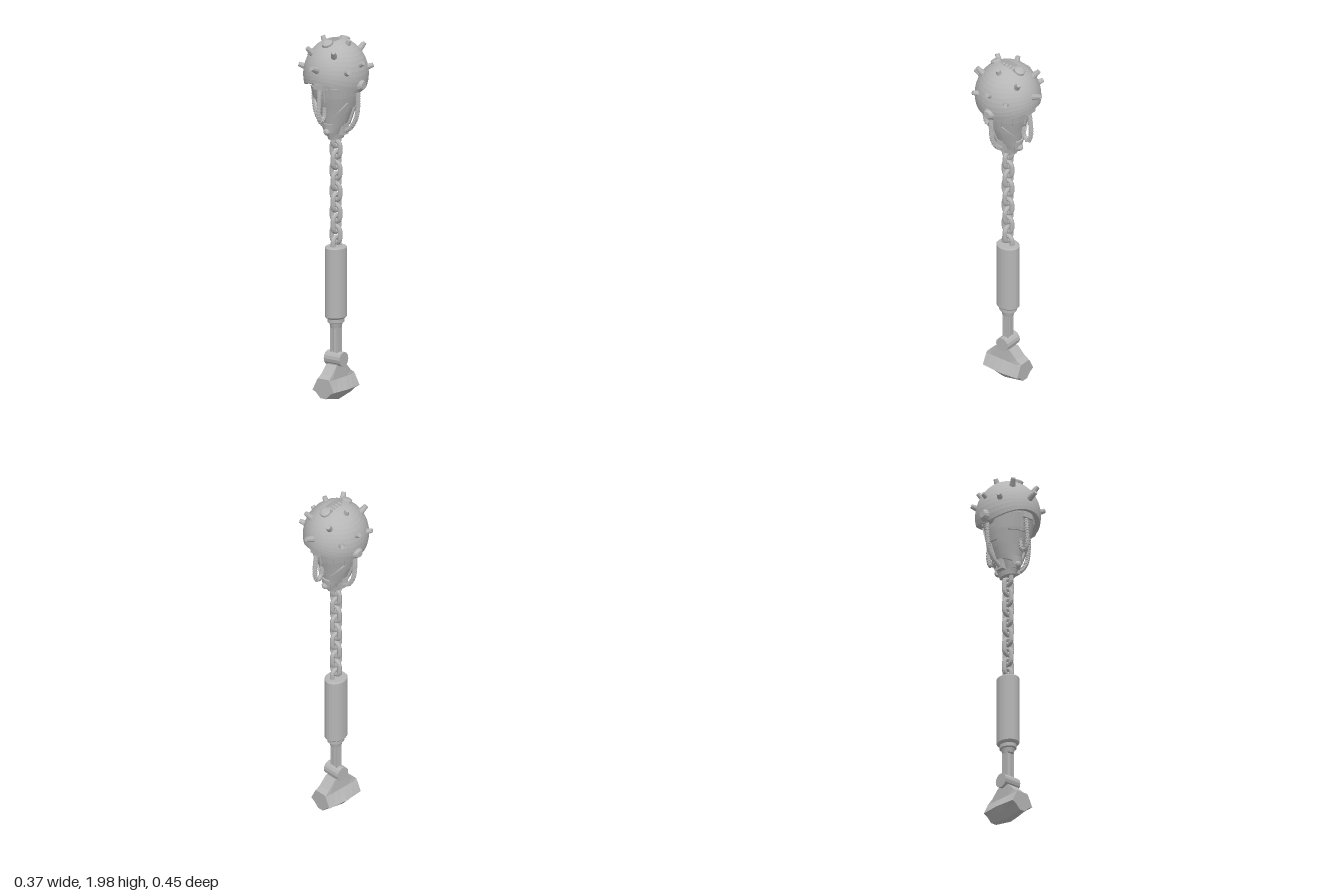
import * as THREE from 'three';

const metal = new THREE.MeshStandardMaterial({ color: 0xb6b6b6, flatShading: true, side: THREE.DoubleSide });
metal.name = 'grey metal';

const lerp = THREE.MathUtils.lerp;
const V = (x, y, z) => new THREE.Vector3(x, y, z);
const UP = V(0, 1, 0);

function add(parent, name, geometry, x = 0, y = 0, z = 0) {
  const mesh = new THREE.Mesh(geometry, metal);
  mesh.name = name;
  mesh.position.set(x, y, z);
  parent.add(mesh);
  return mesh;
}

// Moves every vertex by a rule
function warp(geometry, rule) {
  const p = geometry.attributes.position;
  for (let i = 0; i < p.count; i++) {
    p.setXYZ(i, ...rule(p.getX(i), p.getY(i), p.getZ(i)));
  }
  geometry.computeVertexNormals();
  return geometry;
}

// Cone or cylinder running between two points
function rod(parent, name, from, to, r0, r1, sides = 10) {
  const d = to.clone().sub(from);
  const mesh = add(parent, name, new THREE.CylinderGeometry(r1, r0, d.length(), sides));
  mesh.position.copy(from).addScaledVector(d, 0.5);
  mesh.quaternion.setFromUnitVectors(UP, d.normalize());
  return mesh;
}

// Face cross-sections: height, half width, half depth
const FACE = [
  [1.445, 0.03, 0.06], [1.475, 0.04, 0.073], [1.53, 0.065, 0.08], [1.6, 0.092, 0.097],
  [1.68, 0.115, 0.122], [1.76, 0.13, 0.142], [1.85, 0.13, 0.14], [1.92, 0.085, 0.1], [1.95, 0.015, 0.015],
];
function facePoint(phi, y, out = 0) {
  let i = 0;
  while (i < FACE.length - 2 && y > FACE[i + 1][0]) i++;
  const [a, b] = [FACE[i], FACE[i + 1]];
  const t = (y - a[0]) / (b[0] - a[0]);
  return [Math.sin(phi) * (lerp(a[1], b[1], t) + out), y, Math.cos(phi) * (lerp(a[2], b[2], t) + out)];
}

// Armour plate following the face, with slanted upper and lower edges
function plate(parent, name, phi0, phi1, low0, low1, high0, high1, out) {
  add(parent, name, warp(new THREE.BoxGeometry(1, 1, 1, 6, 5, 1), (x, y, z) => {
    const u = x + 0.5;
    return facePoint(lerp(phi0, phi1, u), lerp(lerp(low0, low1, u), lerp(high0, high1, u), y + 0.5),
      lerp(-0.01, out, z + 0.5));
  }));
}

// Ribbed hose along a curve
function hose(parent, points, radius, ribs) {
  const hoseGroup = new THREE.Group();
  hoseGroup.name = 'ribbedHose';
  const curve = new THREE.CatmullRomCurve3(points);
  add(hoseGroup, 'hoseCore', new THREE.TubeGeometry(curve, 24, radius, 8));
  for (let i = 0; i <= ribs; i++) {
    const p = curve.getPointAt(i / ribs), t = curve.getTangentAt(i / ribs).multiplyScalar(0.004);
    rod(hoseGroup, 'hoseRib', p.clone().sub(t), p.clone().add(t), radius * 1.3, radius * 1.3, 8);
  }
  parent.add(hoseGroup);
}

function buildHammer(root) {
  const g = new THREE.Group();
  g.name = 'hammerEnd';
  // Wedge head: half width and height by level, narrowing to both ends
  const ys = [0.01, 0.04, 0.07, 0.13, 0.2], ws = [0.02, 0.055, 0.08, 0.04, 0.035];
  const zs = [-0.115, -0.085, -0.04, 0, 0.04, 0.085, 0.115], tops = [0.137, 0.155, 0.2, 0.2, 0.2, 0.155, 0.137];
  add(g, 'hammerHead', warp(new THREE.BoxGeometry(1, 1, 1, 2, 4, 6), (x, y, z) => {
    const i = Math.round((y + 0.5) * 4), k = Math.round((z + 0.5) * 6);
    const end = Math.abs(zs[k]) / 0.115;
    const w = ws[i] * (i < 3 ? 1 - 0.12 * end : 1);
    const h = i === 4 ? tops[k] : ys[i] + (i < 2 ? 0.02 * end : 0);
    return [x * 2 * w, h, zs[k]];
  }));
  rod(g, 'pivot', V(-0.052, 0.23, 0), V(0.052, 0.23, 0), 0.04, 0.04, 14);
  add(g, 'pivotNeck', new THREE.BoxGeometry(0.06, 0.08, 0.06), 0, 0.2, 0);
  add(g, 'rod', new THREE.CylinderGeometry(0.018, 0.018, 0.17, 10), 0, 0.335, 0);
  for (const s of [-1, 1]) add(g, 'rodRail', new THREE.BoxGeometry(0.01, 0.17, 0.036), s * 0.02, 0.335, 0);
  root.add(g);
}

function buildHandle(root) {
  const g = new THREE.Group();
  g.name = 'handle';
  const profile = [[0, 0.4], [0.03, 0.4], [0.036, 0.425], [0.045, 0.43], [0.045, 0.45], [0.054, 0.455],
    [0.06, 0.462], [0.06, 0.838], [0.054, 0.845], [0, 0.845]];
  const grip = add(g, 'grip', new THREE.LatheGeometry(profile.map(([r, y]) => new THREE.Vector2(r, y)), 24));
  grip.scale.set(0.93, 1, 1.1);
  root.add(g);
}

function buildChain(root) {
  const g = new THREE.Group();
  g.name = 'chain';
  const pts = [];
  for (let i = 0; i < 16; i++) {
    const a = (i / 16) * Math.PI * 2;
    pts.push(V(Math.cos(a) * 0.027, Math.sin(a) * 0.027 + Math.sign(Math.round(Math.sin(a) * 99)) * 0.018, 0));
  }
  const link = new THREE.TubeGeometry(new THREE.CatmullRomCurve3(pts, true), 28, 0.0125, 8, true);
  for (let i = 0; i < 11; i++) {
    add(g, 'chainLink', link, 0, 0.85 + i * 0.0585, 0).rotation.y = i % 2 ? 0 : Math.PI / 2;
  }
  root.add(g);
}

function buildFace(root) {
  const g = new THREE.Group();
  g.name = 'face';
  add(g, 'skull', warp(new THREE.PlaneGeometry(1, 1, 32, 24), (x, y) =>
    facePoint(x * Math.PI * 2, lerp(1.445, 1.95, y + 0.5))));
  const base = add(g, 'chinSocket', new THREE.CylinderGeometry(0.04, 0.033, 0.035, 14), 0, 1.455, 0);
  base.scale.z = 1.7;
  for (const f of [0, Math.PI]) {
    const s = f ? -1 : 1;
    // Brow, cheeks and jaw, repeated on both faces
    plate(g, 'browPlate', f - 0.75, f + 0.75, 1.665, 1.665, 1.735, 1.735, 0.008);
    plate(g, 'chinPlate', f - 0.6, f + 0.6, 1.465, 1.465, 1.53, 1.53, 0.01);
    plate(g, 'cheekPlate', f + 0.5, f + 1.3, 1.5, 1.52, 1.57, 1.66, 0.012);
    plate(g, 'cheekPlate', f - 1.3, f - 0.5, 1.52, 1.5, 1.66, 1.57, 0.012);
    add(g, 'chinStud', new THREE.SphereGeometry(0.02, 10, 8), 0, 1.485, s * 0.078);
    // Breathing hose with its bracket
    for (const x of [-0.022, 0.022]) rod(g, 'noseStrut', V(x, 1.77, s * 0.145), V(x * 0.8, 1.66, s * 0.125), 0.009, 0.007, 8);
    add(g, 'noseBracket', new THREE.BoxGeometry(0.06, 0.03, 0.05), 0, 1.745, s * 0.135);
    hose(g, [V(0, 1.77, s * 0.135), V(0, 1.68, s * 0.15), V(0, 1.58, s * 0.152), V(0, 1.55, s * 0.135),
      V(0, 1.57, s * 0.108), V(0, 1.62, s * 0.1)], 0.01, 20);
  }
  for (const s of [-1, 1]) {
    hose(g, [V(s * 0.145, 1.74, 0), V(s * 0.146, 1.65, 0), V(s * 0.135, 1.57, 0), V(s * 0.1, 1.51, 0),
      V(s * 0.055, 1.48, 0)], 0.01, 22);
    plate(g, 'templePlate', s * Math.PI / 2 - 0.35, s * Math.PI / 2 + 0.35, 1.62, 1.62, 1.73, 1.73, 0.01);
    add(g, 'jawMount', new THREE.BoxGeometry(0.04, 0.06, 0.05), s * 0.045, 1.495, 0);
  }
  root.add(g);
}

function buildHelmet(root) {
  const g = new THREE.Group();
  g.name = 'helmet';
  const CY = 1.79, RX = 0.172, RY = 0.195, RZ = 0.18;
  // Dome from the crest slot down to the arched rim
  const domePoint = (phi, v, inset) => {
    const s = Math.abs(Math.sin(phi)), c = Math.abs(Math.cos(phi));
    const slot = Math.asin(Math.min(0.03 / Math.max(s, 1e-6), 0.078 / Math.max(c, 1e-6)) / 0.176);
    const rim = Math.acos((lerp(1.768, 1.715, s * s) - CY) / RY);
    const t = lerp(rim, slot, v);
    return [Math.sin(phi) * Math.sin(t) * (RX - inset), CY + Math.cos(t) * (RY - inset), Math.cos(phi) * Math.sin(t) * (RZ - inset)];
  };
  add(g, 'dome', warp(new THREE.PlaneGeometry(1, 1, 48, 12), (x, y) => domePoint(x * Math.PI * 2, y + 0.5, 0)));
  add(g, 'domeRim', warp(new THREE.PlaneGeometry(1, 1, 48, 1), (x, y) =>
    domePoint(x * Math.PI * 2, 0, y < 0 ? 0.03 : 0)));
  add(g, 'slotWall', warp(new THREE.PlaneGeometry(1, 1, 48, 1), (x, y) =>
    domePoint(x * Math.PI * 2, 1, y < 0 ? 0 : 0.03)));
  // Crest slot ribs and end bolts
  for (const z of [-0.045, -0.022, 0, 0.022, 0.045]) {
    rod(g, 'slotRib', V(-0.032, 1.952, z), V(0.032, 1.952, z), 0.009, 0.009, 8);
  }
  const centre = V(0, 1.77, 0);
  for (const s of [-1, 1]) {
    const dir = V(0, 0.19, s * 0.08).normalize();
    const at = V(0, 1.963, s * 0.076);
    rod(g, 'crestBolt', at.clone().addScaledVector(dir, -0.03), at.clone().addScaledVector(dir, 0.012), 0.033, 0.03, 10);
    rod(g, 'crestBoltCap', at.clone().addScaledVector(dir, 0.012), at.clone().addScaledVector(dir, 0.018), 0.03, 0.018, 10);
    // Ear caps
    rod(g, 'earBase', V(s * 0.125, 1.75, 0), V(s * 0.158, 1.75, 0), 0.045, 0.042, 12);
    rod(g, 'earCap', V(s * 0.158, 1.75, 0), V(s * 0.185, 1.75, 0), 0.04, 0.02, 12);
  }
  // Blunt spikes, given by their tips and mirrored
  const tips = [[0, 1.86, 0.22], [0.165, 1.84, 0.11], [0.087, 1.945, 0.14], [0.088, 1.985, 0], [0.18, 1.873, 0]];
  for (const [x, y, z] of tips) {
    for (const sx of x ? [-1, 1] : [1]) {
      for (const sz of z ? [-1, 1] : [1]) {
        const tip = V(x * sx, y, z * sz);
        const dir = tip.clone().sub(centre).normalize();
        rod(g, 'spike', tip.clone().addScaledVector(dir, -0.07), tip, 0.021, 0.012, 10);
      }
    }
  }
  root.add(g);
}

export function createModel() {
  const root = new THREE.Group();
  root.name = 'spikedFlail';
  buildHammer(root);
  buildHandle(root);
  buildChain(root);
  buildFace(root);
  buildHelmet(root);
  return root;
}
